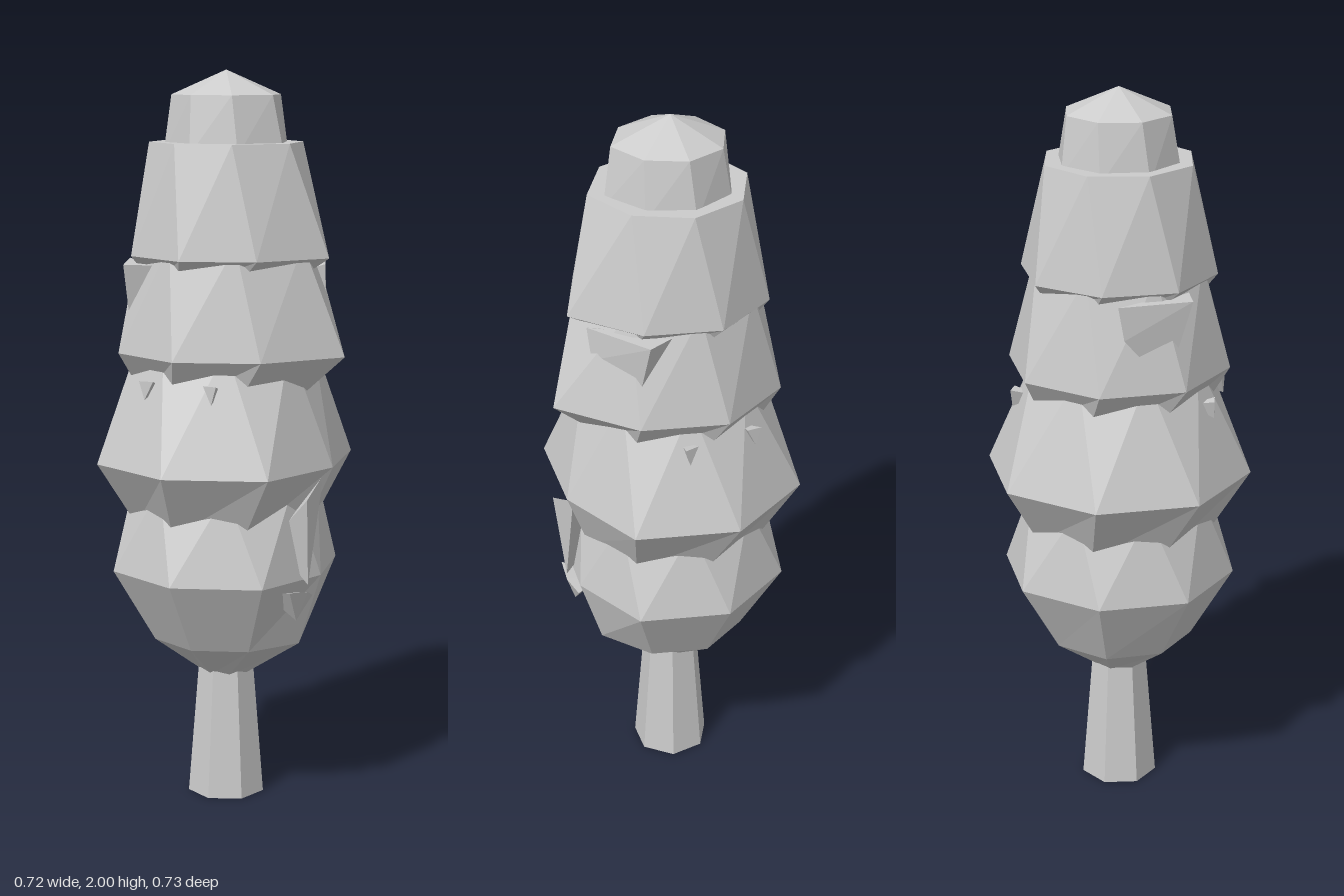
import * as THREE from 'three';
import { ConvexGeometry } from 'three/addons/geometries/ConvexGeometry.js';

const SIDES = 8;

// Closed, flat-shaded loft through octagonal rings.
// Each ring: y, r, optional twist and the radii of the +x and -x corners.
function loft(rings) {
  const corners = rings.map(({ y, r, twist = 0, east = r, west = r }) =>
    Array.from({ length: SIDES }, (_, i) => {
      const a = (i / SIDES) * Math.PI * 2 + twist;
      const rad = i === 0 ? east : i === SIDES / 2 ? west : r;
      return new THREE.Vector3(Math.cos(a) * rad, y, Math.sin(a) * rad);
    }));
  const points = [];
  const last = rings.length - 1;
  const bottom = new THREE.Vector3(0, rings[0].y, 0);
  const top = new THREE.Vector3(0, rings[last].y, 0);
  for (let i = 0; i < SIDES; i++) {
    const j = (i + 1) % SIDES;
    for (let k = 0; k < last; k++) {
      const [a, b, c, d] = [corners[k][i], corners[k][j], corners[k + 1][i], corners[k + 1][j]];
      points.push(a, c, b, b, c, d);
    }
    points.push(bottom, corners[0][i], corners[0][j]);
    points.push(top, corners[last][j], corners[last][i]);
  }
  const geometry = new THREE.BufferGeometry().setFromPoints(points);
  geometry.computeVertexNormals();
  return geometry;
}

// Small faceted leaf clump from a few corners, optionally turned half round
function clump(corners, turn = 1) {
  return new ConvexGeometry(corners.map(([x, y, z]) => new THREE.Vector3(x * turn, y, z * turn)));
}

export function createModel() {
  const tree = new THREE.Group();
  tree.name = 'cypressTree';
  const material = new THREE.MeshStandardMaterial({ color: 0xcccccc, flatShading: true });
  const add = (name, geometry) => {
    const mesh = new THREE.Mesh(geometry, material);
    mesh.name = name;
    tree.add(mesh);
    return mesh;
  };

  // Tapered trunk
  add('trunk', new THREE.CylinderGeometry(0.075, 0.107, 0.4, 7)).position.y = 0.2;

  // Overlapping foliage tiers, bottom to top; the twists make the jagged seams
  const tiers = {
    lowestFoliage: [
      { y: 0.345, r: 0.065, twist: 0.2 },
      { y: 0.45, r: 0.205, east: 0.225 },
      { y: 0.65, r: 0.322, east: 0.29, west: 0.315 },
      { y: 0.9, r: 0.25, twist: 0.3 },
    ],
    lowerFoliage: [
      { y: 0.77, r: 0.25, twist: 0.12 },
      { y: 0.95, r: 0.365, east: 0.323, west: 0.36 },
      { y: 1.28, r: 0.235, twist: 0.3 },
    ],
    middleFoliage: [
      { y: 1.12, r: 0.225, twist: 0.2 },
      { y: 1.25, r: 0.303, east: 0.355 },
      { y: 1.55, r: 0.235, east: 0.26, twist: 0.2 },
    ],
    upperFoliage: [
      { y: 1.43, r: 0.2, twist: 0.2 },
      { y: 1.51, r: 0.266, east: 0.307, west: 0.26 },
      { y: 1.81, r: 0.207, east: 0.22, twist: 0.23 },
    ],
    crown: [
      { y: 1.78, r: 0.17, east: 0.185, twist: 0.12 },
      { y: 1.935, r: 0.147, east: 0.158, twist: 0.2 },
      { y: 2.0, r: 0 },
    ],
  };
  for (const [name, rings] of Object.entries(tiers)) add(name, loft(rings));

  // Leaf clumps on opposite sides of the tree
  for (const turn of [1, -1]) {
    add('upperClump', clump([
      [-0.275, 1.49, 0.045], [-0.19, 1.49, 0.226], [-0.1, 1.49, 0.2],
      [-0.2, 1.26, 0.16], [-0.27, 1.4, 0.06], [-0.15, 1.45, 0.05],
    ], turn));
    for (const side of [1, -1]) {
      add('leafTip', clump([
        [side * 0.075, 1.19, 0.272], [side * 0.115, 1.19, 0.276],
        [side * 0.1, 1.14, 0.274], [side * 0.09, 1.17, 0.2],
      ], turn));
    }
  }

  // Leaf clumps low on the left
  add('lowerClump', clump([
    [0.3, 0.93, 0.01], [0.305, 0.88, 0.12], [0.28, 0.88, 0.03],
    [0.29, 0.64, 0.08], [0.18, 0.75, 0.08],
  ]));
  add('lowestClump', clump([
    [0.27, 0.63, 0.15], [0.29, 0.62, 0.08], [0.28, 0.6, 0.03],
    [0.26, 0.54, 0.09], [0.16, 0.6, 0.08],
  ]));

  return tree;
}
